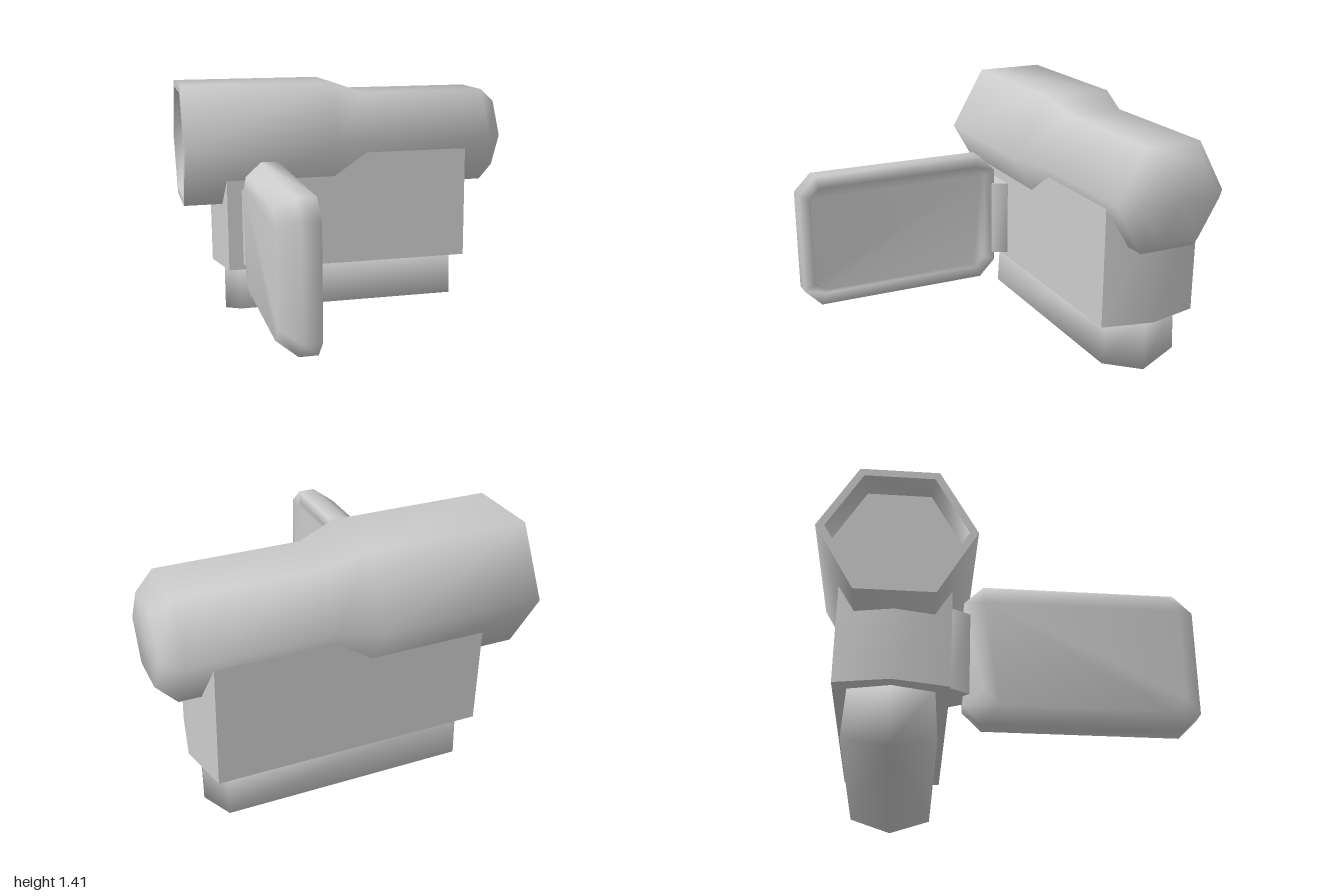
import * as THREE from 'three';
import { toCreasedNormals } from 'three/addons/utils/BufferGeometryUtils.js';

const CENTRE_Z = -0.59; // long axis of the barrel and body

// Skin a stack of equal-length rings (counter-clockwise about the travel direction), capped at both ends
function loft(rings) {
  const n = rings[0].length;
  const last = (rings.length - 1) * n;
  const index = [];
  for (let r = 0; r < rings.length - 1; r++) {
    for (let i = 0; i < n; i++) {
      const a = r * n + i, b = r * n + (i + 1) % n;
      index.push(a, b, b + n, a, b + n, a + n);
    }
  }
  for (let i = 0; i < n - 2; i++) {
    index.push(n - 1, i + 1, i);
    index.push(last + n - 1, last + i, last + i + 1);
  }
  const geometry = new THREE.BufferGeometry();
  geometry.setAttribute('position', new THREE.Float32BufferAttribute(rings.flat(2), 3));
  geometry.setIndex(index);
  geometry.computeVertexNormals();
  return geometry;
}

// Elongated hexagon in plan, with pointed ends at +x and -x
function planRing(y, shoulder, tip, halfZ, tipY = y) {
  const f = CENTRE_Z + halfZ, b = CENTRE_Z - halfZ;
  return [
    [-shoulder, y, f], [shoulder, y, f], [tip, tipY, CENTRE_Z],
    [shoulder, y, b], [-shoulder, y, b], [-tip, tipY, CENTRE_Z],
  ];
}

// Rectangle with cut corners, facing along x
function panelRing(x, h, w, c) {
  return [
    [h, c - w], [h, w - c], [h - c, w], [c - h, w],
    [-h, w - c], [-h, c - w], [c - h, -w], [h - c, -w],
  ].map(([y, z]) => [x, 0.595 + y, 0.385 + z]);
}

export function createModel() {
  const group = new THREE.Group();
  const material = new THREE.MeshStandardMaterial({ color: 0xcccccc });
  const add = (name, geometry) => {
    const mesh = new THREE.Mesh(geometry, material);
    mesh.name = name;
    group.add(mesh);
    return mesh;
  };

  // Six-sided barrel: hollow eyepiece at the rear, narrower chamfered front
  const profile = [
    [0, -0.86], [0.33, -0.86], [0.36, -0.98], [0.405, -0.98], [0.405, -0.09],
    [0.327, 0.11], [0.327, 0.88], [0.232, 0.98], [0, 0.98],
  ].map(([r, x]) => new THREE.Vector2(r, x));
  const barrelGeometry = toCreasedNormals(new THREE.LatheGeometry(profile, 6), 1.25);
  const barrel = add('lensBarrel', barrelGeometry);
  barrel.rotation.z = -Math.PI / 2;
  barrel.position.set(0, 1.057, CENTRE_Z);

  // Main body below the barrel
  add('body', toCreasedNormals(loft([
    planRing(0.32, 0.735, 0.8, 0.29),
    planRing(1.0, 0.735, 0.8, 0.29),
  ]), 1.2));

  // Base with a keeled underside
  add('base', loft([
    planRing(0.06, 0.665, 0.728, 0.235, 0),
    planRing(0.33, 0.665, 0.728, 0.218),
  ]));

  // Upright hinge post joining the screen to the body
  const hingeGeometry = new THREE.CylinderGeometry(0.12, 0.12, 0.455, 6);
  hingeGeometry.rotateY(Math.PI / 6);
  add('hinge', toCreasedNormals(hingeGeometry, 1.25)).position.set(-0.53, 0.578, -0.3);

  // Fold-out screen: bevelled back, rim and shallow recess
  add('screen', loft([
    panelRing(-0.66, 0.33, 0.515, 0.08),
    panelRing(-0.56, 0.395, 0.615, 0.1),
    panelRing(-0.46, 0.395, 0.615, 0.1),
    panelRing(-0.46, 0.325, 0.548, 0.06),
    panelRing(-0.49, 0.318, 0.541, 0.06),
  ]));

  return group;
}
